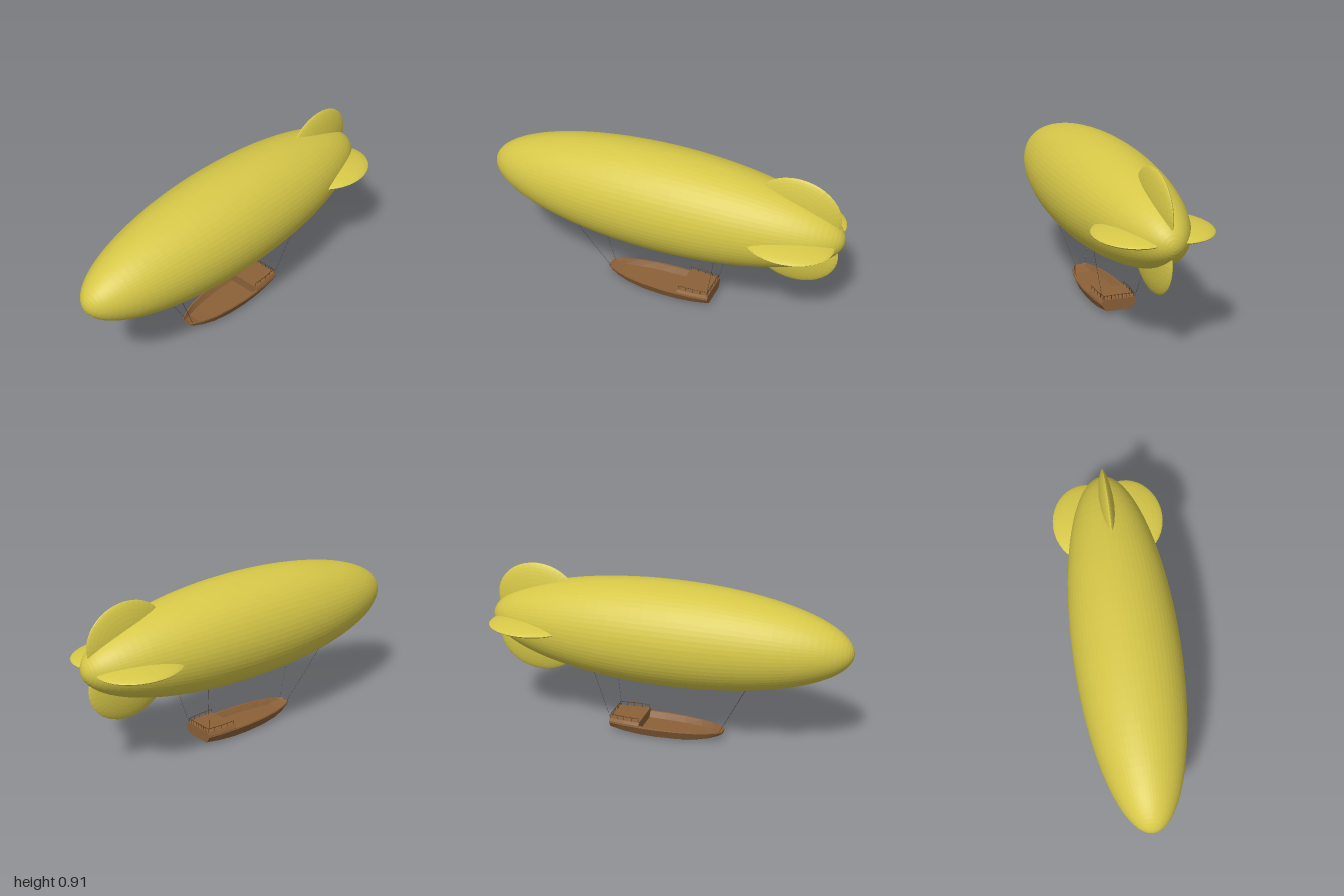
import * as THREE from 'three';

const mat = (name, color) => {
  const m = new THREE.MeshStandardMaterial({ color, flatShading: true });
  m.name = name;
  return m;
};

// Closed loft through rings listed from bow to stern, each counterclockwise seen from the front
function loft(rings) {
  const pos = [], idx = [], n = rings[0].length;
  rings.forEach(r => r.forEach(p => pos.push(...p)));
  for (let i = 0; i < rings.length - 1; i++) {
    for (let j = 0; j < n; j++) {
      const a = i * n + j, b = i * n + (j + 1) % n, c = b + n, d = a + n;
      idx.push(a, c, b, a, d, c);
    }
  }
  const cap = (ring, base, flip) => {
    const pts = ring.map(p => new THREE.Vector2(p[0], p[1]));
    for (const [a, b, c] of THREE.ShapeUtils.triangulateShape(pts, [])) {
      if (flip) idx.push(base + a, base + c, base + b);
      else idx.push(base + a, base + b, base + c);
    }
  };
  cap(rings[0], 0, false);
  cap(rings[rings.length - 1], (rings.length - 1) * n, true);
  const g = new THREE.BufferGeometry();
  g.setAttribute('position', new THREE.Float32BufferAttribute(pos, 3));
  g.setIndex(idx);
  const flat = g.toNonIndexed();
  flat.computeVertexNormals();
  return flat;
}

// Ring from its right-hand half (bottom to top), mirrored
const mirrorRing = (half, z) => [
  ...half.map(([x, y]) => [x, y, z]),
  ...half.slice().reverse().map(([x, y]) => [-x, y, z]),
];

// Thin round bar between two points
function bar(a, b, r, material, name) {
  const p = new THREE.Vector3(...a), q = new THREE.Vector3(...b);
  const d = q.clone().sub(p);
  const m = new THREE.Mesh(new THREE.CylinderGeometry(r, r, d.length(), 6), material);
  m.position.copy(p).add(q).multiplyScalar(0.5);
  m.quaternion.setFromUnitVectors(new THREE.Vector3(0, 1, 0), d.normalize());
  m.name = name;
  return m;
}

export function createModel() {
  const model = new THREE.Group();
  model.name = 'airship';
  const yellow = mat('envelope yellow', 0xd6c748);
  const brown = mat('hull brown', 0x8b6038);
  const darkBrown = mat('rail brown', 0x5c3d20);
  const ropeMat = mat('rope grey brown', 0x4a4038);
  const add = (geo, material, name, parent = model) => {
    const m = new THREE.Mesh(geo, material);
    m.name = name;
    parent.add(m);
    return m;
  };
  const CY = 0.594;

  // Gas envelope, poles at nose and tail
  const env = new THREE.SphereGeometry(1, 64, 48);
  env.rotateX(Math.PI / 2);
  env.scale(0.285, 0.285, 1);
  add(env, yellow, 'envelope').position.y = CY;

  // Four lens-shaped tail fins with a sharp rim
  const profile = [];
  for (let i = 0; i <= 20; i++) {
    const a = -Math.PI / 2 + (i / 20) * Math.PI;
    const t = Math.max(0, Math.cos(a));
    profile.push(new THREE.Vector2(t, Math.sign(a) * 0.042 * Math.pow(Math.max(0, 1 - t * t), 0.7)));
  }
  const finGeo = new THREE.LatheGeometry(profile, 40);
  finGeo.rotateZ(Math.PI / 2);
  finGeo.scale(1, 0.2, 0.235);
  finGeo.translate(0, 0.112, -0.738);
  ['top', 'right', 'bottom', 'left'].forEach((side, i) => {
    const fin = add(finGeo, yellow, side + 'Fin');
    fin.position.y = CY;
    fin.rotation.z = i * Math.PI / 2;
    if (i % 2) fin.scale.y = 0.965;
  });

  // Boat-shaped gondola: [z, half width, keel height]
  const gondola = new THREE.Group();
  gondola.name = 'gondola';
  model.add(gondola);
  const fore = [[0.32, 0.026, 0.046], [0.3, 0.042, 0.036], [0.25, 0.066, 0.022], [0.18, 0.088, 0.01],
    [0.08, 0.105, 0.002], [-0.04, 0.113, 0], [-0.13, 0.112, 0.001]];
  const aft = [[-0.13, 0.112, 0.001], [-0.22, 0.107, 0.007], [-0.305, 0.096, 0.018]];
  add(loft(fore.map(([z, w, k]) => mirrorRing([
    [w * 0.7, k], [w * 0.8, k + 0.006], [w, 0.055], [w * 0.98, 0.062], [w * 0.88, 0.062],
    [w * 0.72, Math.max(0.03, k + 0.01)],
  ], z))), brown, 'foreHull', gondola);
  add(loft(aft.map(([z, w, k]) => mirrorRing([
    [w * 0.7, k], [w * 0.8, k + 0.006], [w, 0.055], [w * 0.98, 0.066], [w * 0.9, 0.081],
  ], z))), brown, 'sternHull', gondola);

  // Railing around the sides and back of the stern deck
  const rail = new THREE.Group();
  rail.name = 'sternRailing';
  gondola.add(rail);
  const DECK = 0.08, TOP = 0.102;
  const path = [[-0.093, -0.135], [-0.092, -0.22], [-0.083, -0.3], [0.083, -0.3], [0.092, -0.22], [0.093, -0.135]];
  const splits = [2, 2, 8, 2, 2];
  for (let i = 0; i < 5; i++) {
    const [x0, z0] = path[i], [x1, z1] = path[i + 1];
    rail.add(bar([x0, TOP, z0], [x1, TOP, z1], 0.002, darkBrown, 'handrail'));
    for (let k = 0; k < splits[i] + (i === 4 ? 1 : 0); k++) {
      const t = k / splits[i], x = x0 + (x1 - x0) * t, z = z0 + (z1 - z0) * t;
      rail.add(bar([x, DECK - 0.002, z], [x, TOP, z], 0.0016, darkBrown, 'railPost'));
    }
  }

  // Suspension ropes
  for (const s of [-1, 1]) {
    model.add(bar([s * 0.03, 0.06, 0.305], [s * 0.114, 0.367, 0.463], 0.0009, ropeMat, 'bowRope'));
    model.add(bar([s * 0.09, 0.08, -0.298], [s * 0.161, 0.382, -0.36], 0.0009, ropeMat, 'sternRope'));
  }
  return model;
}
